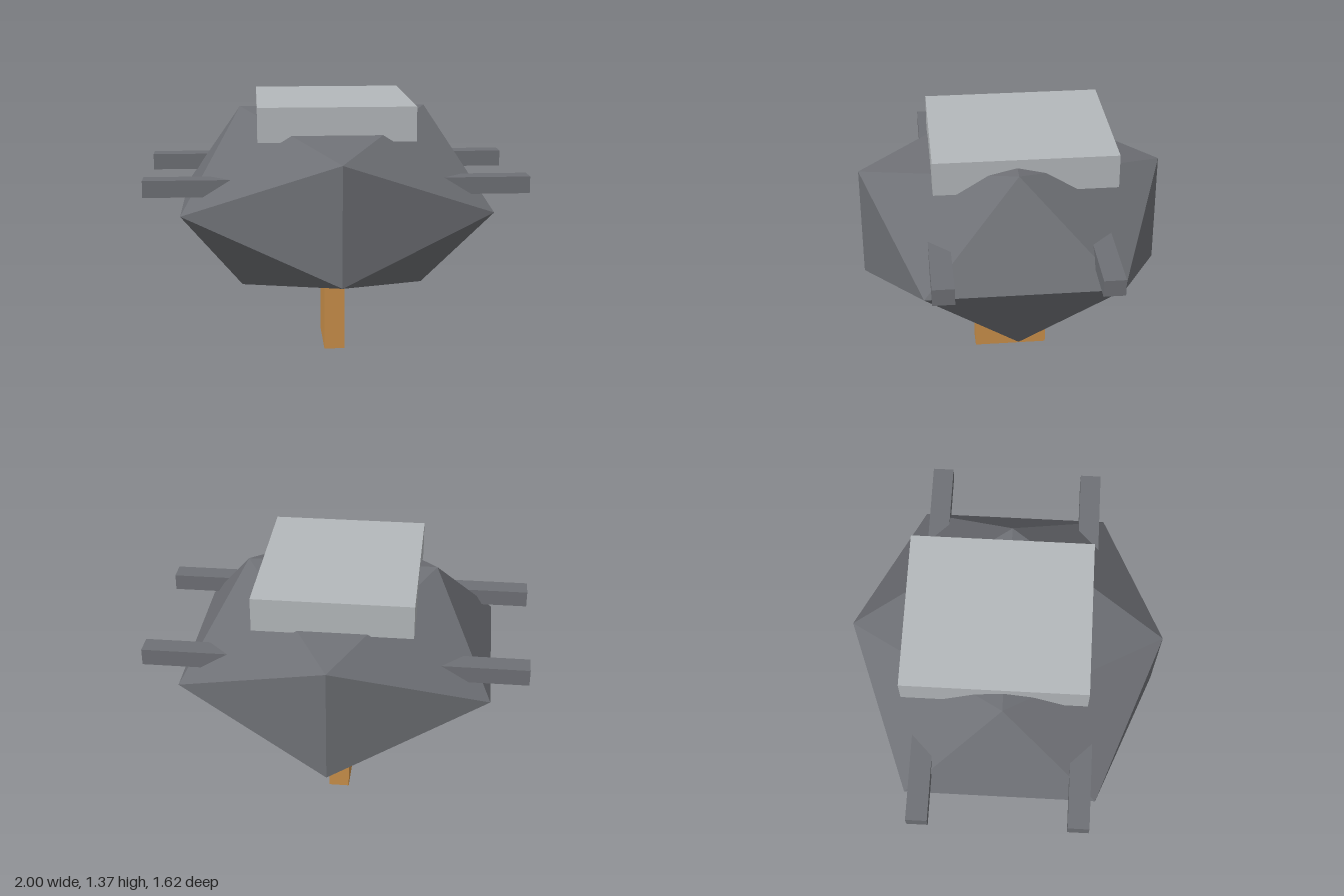
import * as THREE from 'three';

function material(name, color, flat = false) {
  const m = new THREE.MeshStandardMaterial({ color, flatShading: flat });
  m.name = name;
  return m;
}

export function createModel() {
  const model = new THREE.Group();
  model.name = 'facetedModel';
  const darkGrey = material('darkGrey', 0x6e7075, true);
  const lightGrey = material('lightGrey', 0xb4b8bb);
  const ochre = material('ochre', 0xc98f4a);

  const add = (name, geometry, mat, x, y, z) => {
    const mesh = new THREE.Mesh(geometry, mat);
    mesh.name = name;
    mesh.position.set(x, y, z);
    model.add(mesh);
    return mesh;
  };
  const box = (name, size, mat, x, y, z) =>
    add(name, new THREE.BoxGeometry(...size), mat, x, y, z);

  // Squashed twenty-sided body
  const hull = new THREE.IcosahedronGeometry(0.951, 0);
  hull.scale(1, 0.618, 1);
  add('body', hull, darkGrey, 0, 0.82, 0);

  // Flat slab sunk onto the top, set slightly back
  box('topPlate', [0.82, 0.18, 0.95], lightGrey, 0, 1.275, -0.047);

  // Narrow foot under the body
  box('foot', [0.11, 0.46, 0.4], ochre, 0, 0.23, 0);

  // Four pegs sticking out sideways
  for (const side of [-1, 1]) {
    for (const end of [-1, 1]) {
      const name = (end > 0 ? 'front' : 'back') + (side > 0 ? 'Left' : 'Right') + 'Peg';
      box(name, [0.55, 0.088, 0.11], darkGrey, side * 0.725, 0.957, end * 0.411);
    }
  }
  return model;
}
